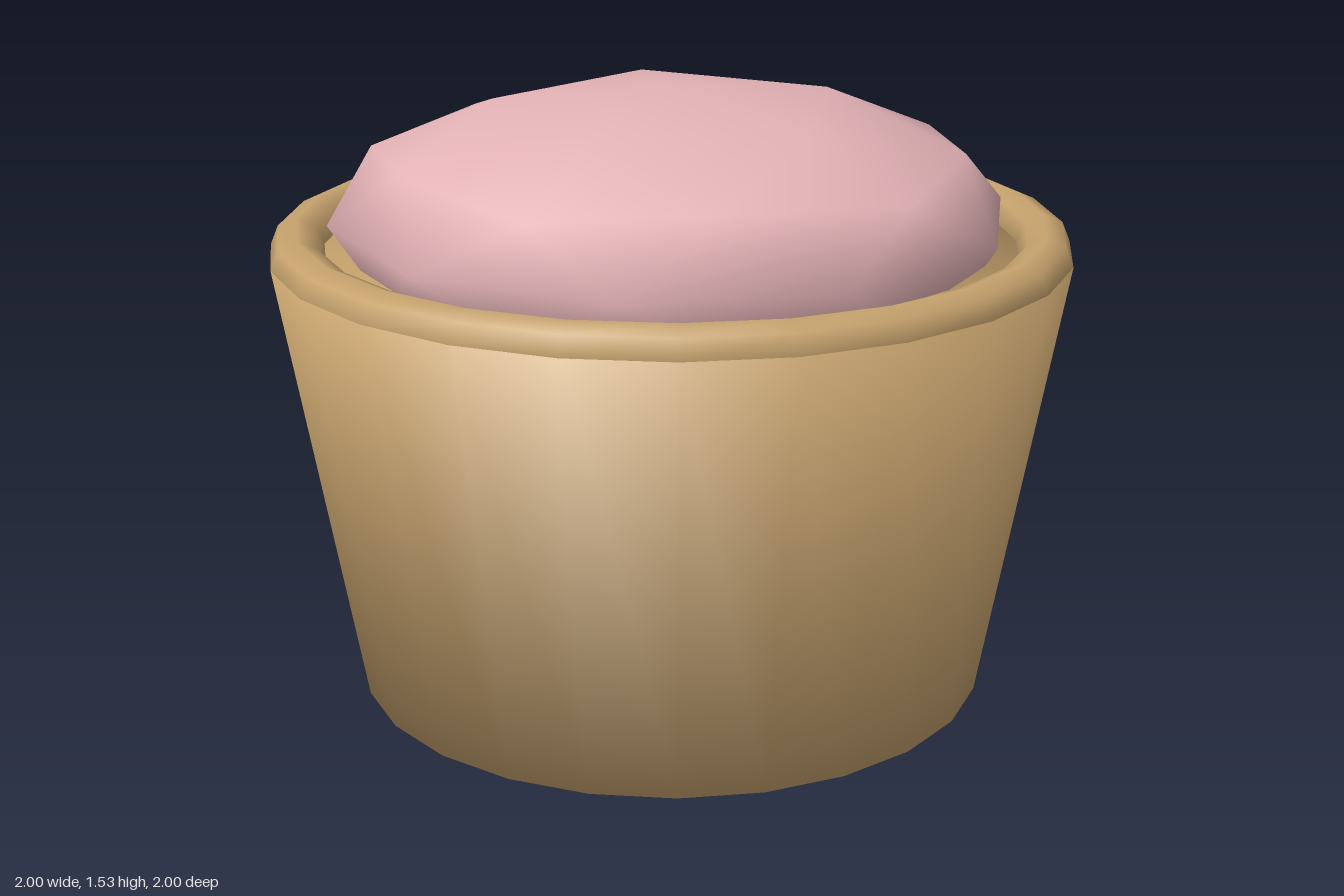
import * as THREE from 'three';

export function createModel() {
  const model = new THREE.Group();
  const tan = new THREE.MeshStandardMaterial({ color: 0xc6a26d });
  tan.name = 'tan';
  const pink = new THREE.MeshStandardMaterial({ color: 0xe3b2b6 });
  pink.name = 'pink';
  const SIDES = 24;

  function add(name, geometry, material) {
    const mesh = new THREE.Mesh(geometry, material);
    mesh.name = name;
    model.add(mesh);
    return mesh;
  }

  // Closed tapered body, shaded smoothly across its caps
  const profile = [[0, 0], [0.8, 0], [1, 1.133], [0, 1.133]]
    .map(([r, y]) => new THREE.Vector2(r, y));
  add('body', new THREE.LatheGeometry(profile, SIDES), tan);

  // Rounded rim around the top edge
  const rim = new THREE.TorusGeometry(0.933, 0.067, 8, SIDES).rotateX(-Math.PI / 2);
  add('rim', rim, tan).position.y = 1.133;

  // Low-poly cushion: an icosphere turned to stand on a vertex, then squashed
  const cushion = new THREE.IcosahedronGeometry(1, 1);
  cushion.rotateZ(-Math.atan(2 / (1 + Math.sqrt(5))));
  cushion.scale(0.853, 0.32, 0.853);
  add('cushion', cushion, pink).position.y = 1.213;

  return model;
}
